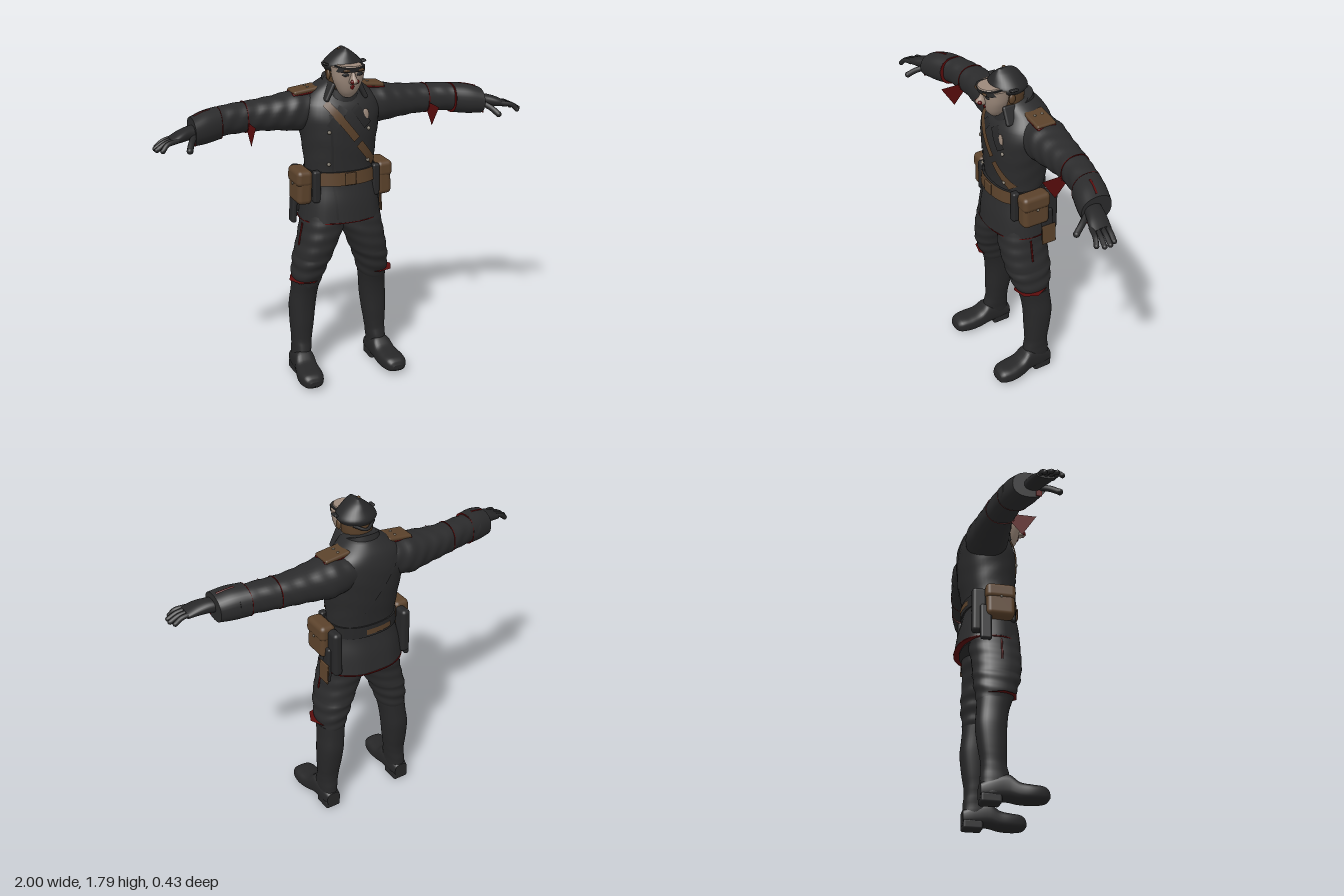
import * as THREE from 'three';
import { RoundedBoxGeometry } from 'three/addons/geometries/RoundedBoxGeometry.js';

const mat = (name, color, side = THREE.FrontSide) => {
  const m = new THREE.MeshStandardMaterial({ color, side });
  m.name = name;
  return m;
};

// Smooth value of a table of [t, ulo, uhi, vlo, vhi] rows at t
function sample(rows, t) {
  let i = 0;
  while (i < rows.length - 2 && t > rows[i + 1][0]) i++;
  const a = rows[i], b = rows[i + 1], h = b[0] - a[0], s = (t - a[0]) / h;
  const slope = (j, k) => {
    const p = rows[Math.max(j - 1, 0)], q = rows[Math.min(j + 1, rows.length - 1)];
    return (q[k] - p[k]) / (q[0] - p[0]);
  };
  return [1, 2, 3, 4].map(k => {
    const s2 = s * s, s3 = s2 * s;
    return (2 * s3 - 3 * s2 + 1) * a[k] + (s3 - 2 * s2 + s) * h * slope(i, k)
      + (3 * s2 - 2 * s3) * b[k] + (s3 - s2) * h * slope(i + 1, k);
  });
}

// Closed skin over rounded sections; (u, v) is (x,z) on axis y, (z,y) on axis x, (y,x) on axis z
function loft(rows, axis, { p = 2.3, seg = 32, sub = 5, fold = () => 0 } = {}) {
  const pos = [], idx = [], pw = c => Math.sign(c) * Math.abs(c) ** (2 / p);
  const put = (t, u, v) => pos.push(...(axis === 'y' ? [u, t, v] : axis === 'x' ? [t, v, u] : [v, u, t]));
  const ring = t => {
    const [ul, uh, vl, vh] = sample(rows, t);
    for (let j = 0; j < seg; j++) {
      const a = j / seg * Math.PI * 2, k = 0.5 * (1 + fold(t, a));
      put(t, (ul + uh) / 2 + (uh - ul) * k * pw(Math.cos(a)), (vl + vh) / 2 + (vh - vl) * k * pw(Math.sin(a)));
    }
  };
  const ts = [rows[0][0]];
  for (let i = 1; i < rows.length; i++)
    for (let s = 1; s <= sub; s++) ts.push(rows[i - 1][0] + (rows[i][0] - rows[i - 1][0]) * s / sub);
  ts.forEach(ring);
  for (let i = 0; i < ts.length - 1; i++)
    for (let j = 0; j < seg; j++) {
      const a = i * seg + j, b = i * seg + (j + 1) % seg;
      idx.push(a, a + seg, b, b, a + seg, b + seg);
    }
  [ts[0], ts[ts.length - 1]].forEach((t, end) => {
    const s0 = pos.length / 3, [ul, uh, vl, vh] = sample(rows, t);
    ring(t);
    put(t, (ul + uh) / 2, (vl + vh) / 2);
    for (let j = 0; j < seg; j++) {
      const a = s0 + j, b = s0 + (j + 1) % seg;
      idx.push(...(end ? [s0 + seg, b, a] : [s0 + seg, a, b]));
    }
  });
  const g = new THREE.BufferGeometry();
  g.setAttribute('position', new THREE.Float32BufferAttribute(pos, 3));
  g.setIndex(idx);
  g.computeVertexNormals();
  return g;
}

// Copy to the other side of x = 0, keeping faces outward
function mirrored(geo) {
  const g = geo.clone().scale(-1, 1, 1);
  const order = g.index ? Array.from(g.index.array) : Array.from({ length: g.attributes.position.count }, (_, i) => i);
  for (let i = 0; i < order.length; i += 3) [order[i + 1], order[i + 2]] = [order[i + 2], order[i + 1]];
  g.setIndex(order);
  return g;
}

const sym = rows => rows.map(([t, w, lo, hi]) => [t, -w, w, lo, hi]);
const V = (x, y, z) => new THREE.Vector3(x, y, z);
const tube = (pts, r) => new THREE.TubeGeometry(new THREE.CatmullRomCurve3(pts), 10, r, 8);
const box = (w, h, d, x, y, z, rz = 0, r = 0.012) =>
  new RoundedBoxGeometry(w, h, d, 3, Math.min(r, Math.min(w, h, d) / 2.1)).rotateZ(rz).translate(x, y, z);
const ball = (x, y, z, sx, sy, sz) => new THREE.SphereGeometry(1, 16, 12).scale(sx, sy, sz).translate(x, y, z);

const COAT = sym([[0.9, 0.22, -0.205, 0.135], [1.0, 0.205, -0.19, 0.125], [1.1, 0.185, -0.165, 0.105],
  [1.16, 0.182, -0.165, 0.1], [1.3, 0.195, -0.188, 0.11], [1.42, 0.213, -0.2, 0.11], [1.5, 0.208, -0.198, 0.092],
  [1.56, 0.165, -0.18, 0.055], [1.61, 0.1, -0.14, 0.05], [1.63, 0.07, -0.11, 0.04]]);

// Band lying on the coat between two points, on the front (dir 1) or back (dir -1)
function strap([x0, y0], [x1, y1], width, dir, lift) {
  const pos = [], idx = [], n = 16, L = Math.hypot(x1 - x0, y1 - y0);
  const nx = -(y1 - y0) / L * width / 2, ny = (x1 - x0) / L * width / 2;
  for (let i = 0; i <= n; i++)
    for (const s of [-1, 1]) {
      const x = x0 + (x1 - x0) * i / n + nx * s, y = y0 + (y1 - y0) * i / n + ny * s;
      const [, w, lo, hi] = sample(COAT, y);
      const k = Math.max(0, 1 - Math.min(1, Math.abs(x) / w) ** 2.3) ** (1 / 2.3);
      pos.push(x, y, (lo + hi) / 2 + dir * ((hi - lo) / 2 * k + lift));
      if (s > 0 && i < n) {
        const a = 2 * i;
        idx.push(...(dir > 0 ? [a, a + 2, a + 1, a + 1, a + 2, a + 3] : [a, a + 1, a + 2, a + 1, a + 3, a + 2]));
      }
    }
  const g = new THREE.BufferGeometry();
  g.setAttribute('position', new THREE.Float32BufferAttribute(pos, 3));
  g.setIndex(idx);
  g.computeVertexNormals();
  return g;
}

export function createModel() {
  const cloth = mat('charcoal cloth', 0x2b2b2c), leather = mat('black leather', 0x272728);
  const brown = mat('brown leather', 0x5b422b, THREE.DoubleSide), skin = mat('skin', 0x9c897b);
  const red = mat('dark red lining', 0x5a0c0c, THREE.DoubleSide), metal = mat('dull metal', 0x7d766a);
  const root = new THREE.Group();
  const add = (name, geo, m) => {
    const mesh = new THREE.Mesh(geo, m);
    mesh.name = name;
    root.add(mesh);
  };
  const pair = (name, geo, m) => {
    add(name + 'Left', geo, m);
    add(name + 'Right', mirrored(geo), m);
  };

  // Coat, lining and collar
  add('coat', loft(COAT, 'y', { seg: 48, fold: (t, a) => t < 1.1 ? 0.05 * (1.1 - t) * Math.sin(9 * a) : 0.006 * Math.sin(t * 60 + 3 * Math.sin(a * 2)) }), cloth);
  add('coatLining', loft(sym([[0.894, 0.222, -0.209, 0.135], [0.899, 0.222, -0.209, 0.135]]), 'y', { sub: 1 }), red);
  add('coatUnderside', loft(sym([[0.888, 0.198, -0.18, 0.115], [0.896, 0.198, -0.18, 0.115]]), 'y', { sub: 1 }), cloth);
  const collar = loft(sym([[1.5, 0.135, -0.16, 0.075], [1.57, 0.1, -0.138, 0.08], [1.64, 0.088, -0.122, 0.072]]), 'y');
  const cp = collar.attributes.position;
  for (let i = 0; i < cp.count; i++) cp.setY(i, cp.getY(i) - 0.36 * (cp.getZ(i) + 0.1));
  collar.computeVertexNormals();
  add('collar', collar, cloth);
  pair('collarWing', box(0.022, 0.1, 0.07, 0.088, 1.575, 0.04, 0.45), cloth);
  add('coatFlap', strap([-0.1, 1.47], [-0.075, 0.92], 0.012, 1, 0.004), leather);
  pair('lapel', strap([0.03, 1.5], [0.1, 1.4], 0.05, 1, 0.006), leather);
  for (const y of [1.21, 1.38])
    pair('button', ball(0.108, y, sample(COAT, y)[3] - 0.012, 0.01, 0.01, 0.008), metal);
  add('medal', ball(0.09, 1.45, 0.097, 0.02, 0.034, 0.007), skin);

  // Belt, sash and gear
  add('belt', loft(sym([[1.1, 0.19, -0.173, 0.112], [1.165, 0.19, -0.173, 0.112]]), 'y', { sub: 1 }), leather);
  add('beltFront', strap([-0.15, 1.13], [0.15, 1.13], 0.07, 1, 0.014), brown);
  add('beltBuckle', box(0.06, 0.066, 0.01, 0, 1.13, 0.122), brown);
  add('beltBack', strap([-0.1, 1.13], [0.05, 1.13], 0.03, -1, 0.014), brown);
  add('sashUpper', strap([-0.115, 1.525], [0.035, 1.335], 0.04, 1, 0.009), brown);
  add('sashLower', strap([0.05, 1.31], [0.15, 1.19], 0.042, 1, 0.009), brown);
  add('sashBack', strap([-0.12, 1.53], [0.14, 1.17], 0.03, -1, 0.004), cloth);
  pair('pouch', box(0.08, 0.175, 0.15, 0.222, 1.083, -0.015, 0.04, 0.025), brown);
  pair('pouchFlap', box(0.086, 0.085, 0.158, 0.224, 1.135, -0.015, 0.04, 0.025), brown);
  pair('pouchStud', ball(0.267, 1.1, -0.015, 0.005, 0.007, 0.007), metal);
  pair('sidePack', box(0.04, 0.17, 0.04, 0.165, 1.09, 0.06), leather);
  pair('holster', box(0.05, 0.25, 0.08, 0.205, 1.035, -0.12, 0, 0.02), leather);
  pair('scabbard', box(0.028, 0.2, 0.06, 0.235, 0.96, -0.09, 0.06), leather);
  add('scabbardCover', box(0.009, 0.11, 0.082, 0.254, 0.918, -0.09, 0.06), brown);

  // Arms, cuffs and gloves
  const sleeveFold = (t, a) => 0.018 * Math.sin(t * 75 + 2.5 * Math.sin(a * 2));
  pair('sleeve', loft([[0.1, -0.18, 0.01, 1.4, 1.56], [0.22, -0.19, 0.03, 1.365, 1.568], [0.32, -0.175, 0.02, 1.375, 1.552],
    [0.45, -0.155, 0.008, 1.385, 1.54], [0.6, -0.125, 0.02, 1.388, 1.535], [0.7, -0.105, 0.045, 1.385, 1.522]],
  'x', { sub: 9, fold: sleeveFold }), cloth);
  pair('elbowTrim', loft([[0.498, -0.148, 0.013, 1.384, 1.542], [0.502, -0.148, 0.013, 1.384, 1.542]], 'x', { sub: 1 }), red);
  pair('cuff', loft([[0.645, -0.117, 0.045, 1.378, 1.535], [0.72, -0.098, 0.072, 1.37, 1.528], [0.79, -0.075, 0.09, 1.37, 1.508]], 'x'), cloth);
  pair('cuffTrim', loft([[0.641, -0.118, 0.045, 1.377, 1.535], [0.644, -0.118, 0.045, 1.377, 1.535]], 'x', { sub: 1 }), red);
  pair('cuffLining', box(0.006, 0.06, 0.03, 0.79, 1.41, 0.055), red);
  pair('cuffTab', tube([V(0.69, 1.53, -0.02), V(0.73, 1.523, -0.012), V(0.775, 1.511, 0)], 0.006), red);
  pair('palm', loft([[0.74, -0.03, 0.07, 1.4, 1.47], [0.8, -0.015, 0.075, 1.41, 1.475], [0.86, -0.002, 0.1, 1.408, 1.462],
    [0.915, 0.012, 0.11, 1.403, 1.437]], 'x'), leather);
  for (let i = 0; i < 4; i++) {
    const z = 0.025 + i * 0.024, tip = [0.975, 0.988, 0.986, 0.965][i];
    const finger = [V(0.88, 1.428, z), V(0.94, 1.418, z + 0.008 + i * 0.003), V(tip, 1.393, z + 0.012 + i * 0.005)];
    pair('finger', tube(finger, 0.0125), leather);
    pair('fingertip', ball(...finger[2].toArray(), 0.0125, 0.0125, 0.0125), leather);
  }
  pair('thumb', tube([V(0.79, 1.43, 0.06), V(0.82, 1.41, 0.105), V(0.84, 1.385, 0.145)], 0.016), leather);
  pair('thumbTip', ball(0.84, 1.385, 0.145, 0.016, 0.016, 0.016), leather);

  // Loose red flaps at elbows and knees
  const elbow = new THREE.BufferGeometry().setFromPoints([V(0.5, 1.45, -0.06), V(0.5, 1.335, 0.04), V(0.5, 1.45, 0.115)]).setIndex([0, 1, 2]);
  elbow.computeVertexNormals();
  pair('elbowFlap', elbow, red);
  pair('kneeFlap', new THREE.CircleGeometry(1, 7).rotateX(-Math.PI / 2).scale(0.088, 1, 0.09).translate(0.207, 0.565, -0.01), red);

  // Epaulettes
  pair('epauletteBase', box(0.148, 0.02, 0.104, 0.18, 1.564, -0.068, -0.12), red);
  pair('epaulette', box(0.14, 0.022, 0.108, 0.18, 1.573, -0.068, -0.12), brown);
  for (const z of [-0.09, -0.05]) pair('epauletteStud', ball(0.165, 1.586, z, 0.007, 0.005, 0.007), metal);

  // Legs and boots
  const legFold = (t, a) => (t < 0.9 ? 0.03 : 0) * Math.sin(t * 85 + 2.2 * Math.sin(a + 1)) * (t < 0.7 ? 1 : 0.45);
  pair('trouserLeg', loft([[0.52, 0.128, 0.258, -0.12, 0.04], [0.57, 0.11, 0.266, -0.13, 0.065], [0.64, 0.088, 0.262, -0.14, 0.09],
    [0.7, 0.062, 0.253, -0.142, 0.105], [0.78, 0.03, 0.235, -0.142, 0.115], [0.86, -0.005, 0.22, -0.15, 0.115],
    [0.95, -0.01, 0.2, -0.16, 0.105]], 'y', { sub: 9, fold: legFold }), cloth);
  pair('thighStripe', tube([V(0.219, 0.88, -0.005), V(0.232, 0.81, -0.005), V(0.241, 0.76, -0.005)], 0.005), red);
  pair('bootShaft', loft([[0.05, 0.18, 0.275, -0.115, 0.02], [0.12, 0.175, 0.272, -0.115, 0.035], [0.2, 0.165, 0.27, -0.11, 0.018],
    [0.3, 0.15, 0.275, -0.125, 0.02], [0.4, 0.138, 0.275, -0.136, 0.022], [0.48, 0.13, 0.266, -0.13, 0.032],
    [0.545, 0.12, 0.263, -0.125, 0.05]], 'y', { fold: (t, a) => t < 0.25 ? 0.012 * Math.sin(t * 110 + a) : 0 }), leather);
  pair('bootFoot', loft([[-0.118, 0.02, 0.1, 0.185, 0.265], [-0.06, 0.02, 0.13, 0.178, 0.275], [0.02, 0.02, 0.15, 0.172, 0.283],
    [0.07, 0.012, 0.112, 0.172, 0.295], [0.13, 0.01, 0.1, 0.172, 0.306], [0.185, 0.014, 0.095, 0.182, 0.301],
    [0.21, 0.022, 0.08, 0.198, 0.288], [0.22, 0.035, 0.06, 0.215, 0.27]], 'z', { p: 2.8 }), leather);
  pair('bootHeel', box(0.088, 0.05, 0.105, 0.226, 0.025, -0.065), leather);
  pair('ankleTrim', tube([V(0.182, 0.125, 0.028), V(0.225, 0.135, 0.037), V(0.27, 0.125, 0.018)], 0.003), red);

  // Head and face
  add('hairAndNeck', loft(sym([[1.53, 0.06, -0.075, 0.05], [1.6, 0.07, -0.07, 0.07], [1.66, 0.081, -0.072, 0.07], [1.72, 0.085, -0.07, 0.07]]), 'y'), brown);
  add('face', loft(sym([[1.55, 0.022, 0.04, 0.1], [1.575, 0.045, 0.03, 0.122], [1.61, 0.064, 0.02, 0.136], [1.65, 0.079, 0.015, 0.143],
    [1.71, 0.087, 0.01, 0.148]]), 'y'), skin);
  add('nose', loft(sym([[1.63, 0.018, 0.12, 0.168], [1.643, 0.021, 0.12, 0.183], [1.67, 0.012, 0.12, 0.165], [1.695, 0.008, 0.12, 0.152]]), 'y', { seg: 16 }), skin);
  add('mouth', ball(0, 1.613, 0.135, 0.011, 0.014, 0.006), red);
  pair('nostrilMark', ball(0.011, 1.644, 0.167, 0.013, 0.011, 0.012), red);
  pair('eye', ball(0.034, 1.676, 0.14, 0.022, 0.009, 0.006), leather);
  pair('ear', ball(0.085, 1.66, 0.03, 0.01, 0.026, 0.018), brown);

  // Cap with visor
  add('cap', loft(sym([[1.68, 0.088, -0.082, 0.09], [1.705, 0.104, -0.09, 0.106], [1.74, 0.076, -0.068, 0.092], [1.77, 0.04, -0.045, 0.075],
    [1.79, 0.008, -0.015, 0.055]]), 'y', { p: 2 }), leather);
  add('capButton', ball(-0.02, 1.784, 0.015, 0.01, 0.006, 0.01), brown);
  add('visor', loft(sym([[1.69, 0.078, 0.03, 0.16], [1.715, 0.072, 0.03, 0.166]]), 'y', { p: 2.6, sub: 2 }), leather);
  add('visorTop', loft(sym([[1.714, 0.062, 0.03, 0.167], [1.72, 0.058, 0.03, 0.163]]), 'y', { p: 2.2, sub: 1 }), skin);
  pair('visorLens', ball(0.036, 1.7, 0.156, 0.022, 0.007, 0.007), brown);
  pair('capWing', box(0.05, 0.012, 0.04, 0.092, 1.712, 0.03, 0.3), leather);
  add('capStrap', tube([V(-0.06, 1.685, -0.06), V(0, 1.663, -0.092), V(0.06, 1.685, -0.06)], 0.008), leather);
  return root;
}
